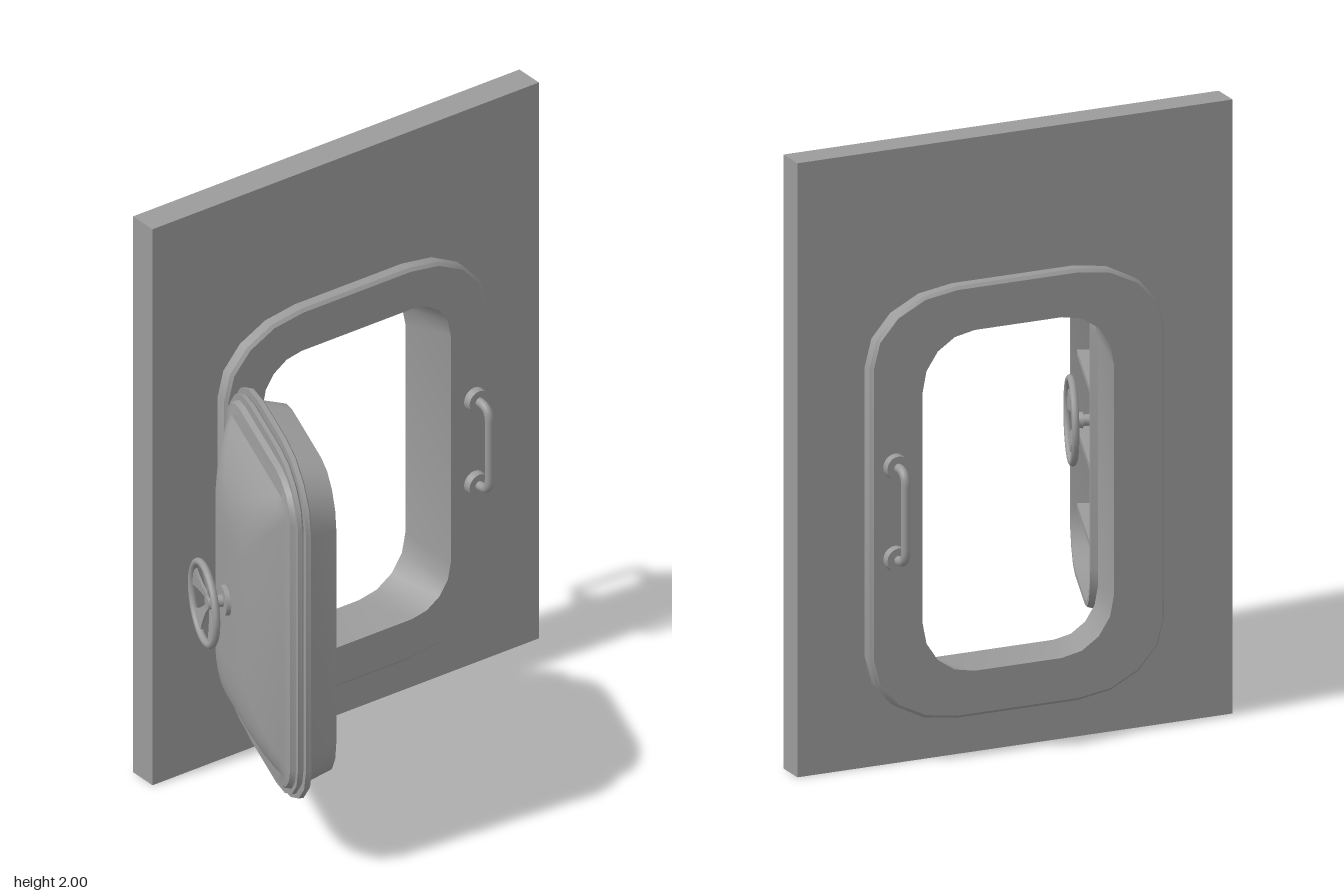
import * as THREE from 'three';
import { toCreasedNormals } from 'three/addons/utils/BufferGeometryUtils.js';

const material = new THREE.MeshStandardMaterial({ color: 0x9b9b9b });

function add(parent, name, geometry, x = 0, y = 0, z = 0) {
  const mesh = new THREE.Mesh(geometry, material);
  mesh.name = name;
  mesh.position.set(x, y, z);
  parent.add(mesh);
  return mesh;
}

function addGroup(parent, name, x = 0, y = 0, z = 0) {
  const group = new THREE.Group();
  group.name = name;
  group.position.set(x, y, z);
  parent.add(group);
  return group;
}

// Rounded rectangle, counter-clockwise, with elliptical corners
function roundedRect(hw, hh, rx, ry, steps = 4) {
  const points = [];
  [[1, 1], [-1, 1], [-1, -1], [1, -1]].forEach(([sx, sy], corner) => {
    for (let i = 0; i <= steps; i++) {
      const a = (corner + i / steps) * Math.PI / 2;
      points.push(new THREE.Vector2(sx * (hw - rx) + rx * Math.cos(a), sy * (hh - ry) + ry * Math.sin(a)));
    }
  });
  return points;
}

// Skin over rounded rectangles given as [halfWidth, halfHeight, z, rx, ry]
function loft(sections, closed = false) {
  const positions = [], index = [];
  const rings = sections.map(([hw, hh, z, rx, ry]) => {
    const ring = roundedRect(hw, hh, rx, ry);
    ring.forEach(p => positions.push(p.x, p.y, z));
    return ring;
  });
  const n = rings[0].length, count = rings.length;
  for (let i = 0; i < (closed ? count : count - 1); i++) {
    const lower = i * n, upper = ((i + 1) % count) * n;
    for (let j = 0; j < n; j++) {
      const k = (j + 1) % n;
      index.push(lower + j, lower + k, upper + k, lower + j, upper + k, upper + j);
    }
  }
  const geometry = new THREE.BufferGeometry();
  geometry.setAttribute('position', new THREE.Float32BufferAttribute(positions, 3));
  geometry.setIndex(index);
  return toCreasedNormals(geometry.toNonIndexed(), 0.5);
}

// Cylinder along z from z0 to z1
function rod(r0, r1, z0, z1, sides = 20) {
  return new THREE.CylinderGeometry(r1, r0, z1 - z0, sides).rotateX(Math.PI / 2).translate(0, 0, (z0 + z1) / 2);
}

// Five-spoke handwheel standing off a surface along +z
function handwheel(parent, name, z, height) {
  const wheel = addGroup(parent, name, 0, 0, z);
  add(wheel, 'wheelCollar', rod(0.052, 0.048, -0.02, 0.02));
  add(wheel, 'wheelShaft', rod(0.022, 0.016, 0, height - 0.02));
  add(wheel, 'wheelHub', rod(0.026, 0.022, height - 0.035, height - 0.008));
  add(wheel, 'wheelRim', new THREE.TorusGeometry(0.132, 0.012, 10, 32), 0, 0, height);
  const blade = new THREE.Shape();
  blade.moveTo(0.01, -0.008);
  blade.quadraticCurveTo(0.08, -0.012, 0.126, -0.042);
  blade.lineTo(0.126, 0.042);
  blade.quadraticCurveTo(0.08, 0.012, 0.01, 0.008);
  const spokeGeometry = new THREE.ExtrudeGeometry(blade, { depth: 0.008, bevelEnabled: false, curveSegments: 5 })
    .rotateY(-0.16).translate(0, 0, height - 0.026);
  for (let i = 0; i < 5; i++) {
    add(wheel, 'wheelSpoke', spokeGeometry).rotation.z = Math.PI / 2 + i * Math.PI * 2 / 5;
  }
  return wheel;
}

// Upright grab handle standing off a surface along +z
function grabHandle(parent, name, x, z) {
  const handle = addGroup(parent, name, x, 0, z);
  const path = new THREE.CurvePath();
  const v = (y, d) => new THREE.Vector3(0, y, d);
  const h = 0.15, out = 0.077, bend = 0.045;
  path.add(new THREE.LineCurve3(v(-h, 0), v(-h, out - bend)));
  path.add(new THREE.QuadraticBezierCurve3(v(-h, out - bend), v(-h, out), v(-h + bend, out)));
  path.add(new THREE.LineCurve3(v(-h + bend, out), v(h - bend, out)));
  path.add(new THREE.QuadraticBezierCurve3(v(h - bend, out), v(h, out), v(h, out - bend)));
  path.add(new THREE.LineCurve3(v(h, out - bend), v(h, 0)));
  add(handle, 'handleBar', new THREE.TubeGeometry(path, 60, 0.015, 10));
  for (const y of [-h, h]) {
    add(handle, 'handleFoot', rod(0.041, 0.038, -0.005, 0.025), 0, y);
  }
  return handle;
}

export function createModel() {
  const model = new THREE.Group();
  model.name = 'hatchDoor';
  const midY = 0.833;

  // Bulkhead and frame: local z points along world +x
  const bulkhead = addGroup(model, 'bulkhead', 0, midY, -0.07);
  bulkhead.rotation.y = Math.PI / 2;
  const wall = new THREE.Shape([[-0.76, -midY], [0.74, -midY], [0.74, 2 - midY], [-0.76, 2 - midY]]
    .map(([x, y]) => new THREE.Vector2(x, y)));
  wall.holes.push(new THREE.Path(roundedRect(0.43, 0.63, 0.22, 0.2)));
  add(bulkhead, 'wallPanel', new THREE.ExtrudeGeometry(wall, { depth: 0.1, bevelEnabled: false }), 0, 0, -0.376);
  add(bulkhead, 'doorFrame', loft([
    [0.33, 0.555, -0.42, 0.18, 0.18],
    [0.498, 0.693, -0.42, 0.29, 0.22],
    [0.508, 0.703, -0.41, 0.3, 0.23],
    [0.508, 0.703, -0.242, 0.3, 0.23],
    [0.498, 0.693, -0.232, 0.29, 0.22],
    [0.365, 0.558, -0.232, 0.15, 0.15],
  ], true));
  grabHandle(bulkhead, 'frontHandle', 0.457, -0.232);
  grabHandle(bulkhead, 'backHandle', 0.425, -0.42).rotation.y = Math.PI;

  // Door swung open: local z is its outward normal
  const door = addGroup(model, 'door', 0, midY, 0);
  door.rotation.y = -THREE.MathUtils.degToRad(20);
  const leaf = addGroup(door, 'doorLeaf', 0.314, 0, 0);
  const sections = [
    [0, 0, 0.42, 0, 0],
    [0.3, 0.535, 0.42, 0.15, 0.16],
    [0.297, 0.537, 0.345, 0.15, 0.16],
    [0.315, 0.553, 0.345, 0.16, 0.17],
    [0.35, 0.575, 0.445, 0.18, 0.18],
    [0.385, 0.618, 0.445, 0.27, 0.2],
    [0.39, 0.623, 0.45, 0.27, 0.2],
    [0.39, 0.623, 0.466, 0.27, 0.2],
    [0.365, 0.595, 0.466, 0.23, 0.17],
    [0.37, 0.6, 0.472, 0.23, 0.17],
    [0.37, 0.6, 0.486, 0.23, 0.17],
    [0.35, 0.567, 0.486, 0.16, 0.13],
    [0.342, 0.558, 0.503, 0.15, 0.12],
    [0.308, 0.5, 0.508, 0.06, 0.06],
  ];
  // Pillow-shaped outer face, inset evenly from the edge to a flat middle
  for (const d of [0.015, 0.04, 0.08, 0.12, 0.16, 0.2, 0.26]) {
    const hw = 0.308 - d;
    const r = Math.min(0.06 + d * 0.35, hw * 0.95);
    sections.push([hw, 0.5 - d, 0.508 + 0.097 * (1 - (1 - d / 0.26) ** 2.5), r, r]);
  }
  sections.push([0, 0.2, 0.605, 0, 0]);
  add(leaf, 'doorShell', loft(sections));
  // Stiffening ribs inside the leaf
  for (let i = 0; i < 4; i++) {
    add(leaf, 'innerRib', new THREE.BoxGeometry(0.595, 0.018, 0.06), 0, -0.375 + i * 0.25, 0.395);
  }
  handwheel(leaf, 'outerHandwheel', 0.6, 0.078);
  handwheel(leaf, 'innerHandwheel', 0.42, 0.102).rotation.y = Math.PI;

  // Hinges: three-knuckle barrels with a strap on each side
  for (const y of [-0.265, 0.265]) {
    const hinge = addGroup(model, 'hinge', -0.213, midY + y, 0.385);
    for (let i = -1; i <= 1; i++) {
      add(hinge, 'hingeKnuckle', new THREE.CylinderGeometry(0.02, 0.02, 0.074, 14), 0, i * 0.078, 0);
    }
    add(hinge, 'hingePin', new THREE.CylinderGeometry(0.013, 0.013, 0.23, 10));
    add(hinge, 'frameStrap', new THREE.BoxGeometry(0.03, 0.074, 0.045), -0.015, 0, 0.005);
    for (const s of [-1, 1]) {
      add(hinge, 'doorStrap', new THREE.BoxGeometry(0.09, 0.074, 0.016), 0.035, s * 0.078, 0.03).rotation.y = door.rotation.y;
    }
  }
  return model;
}
